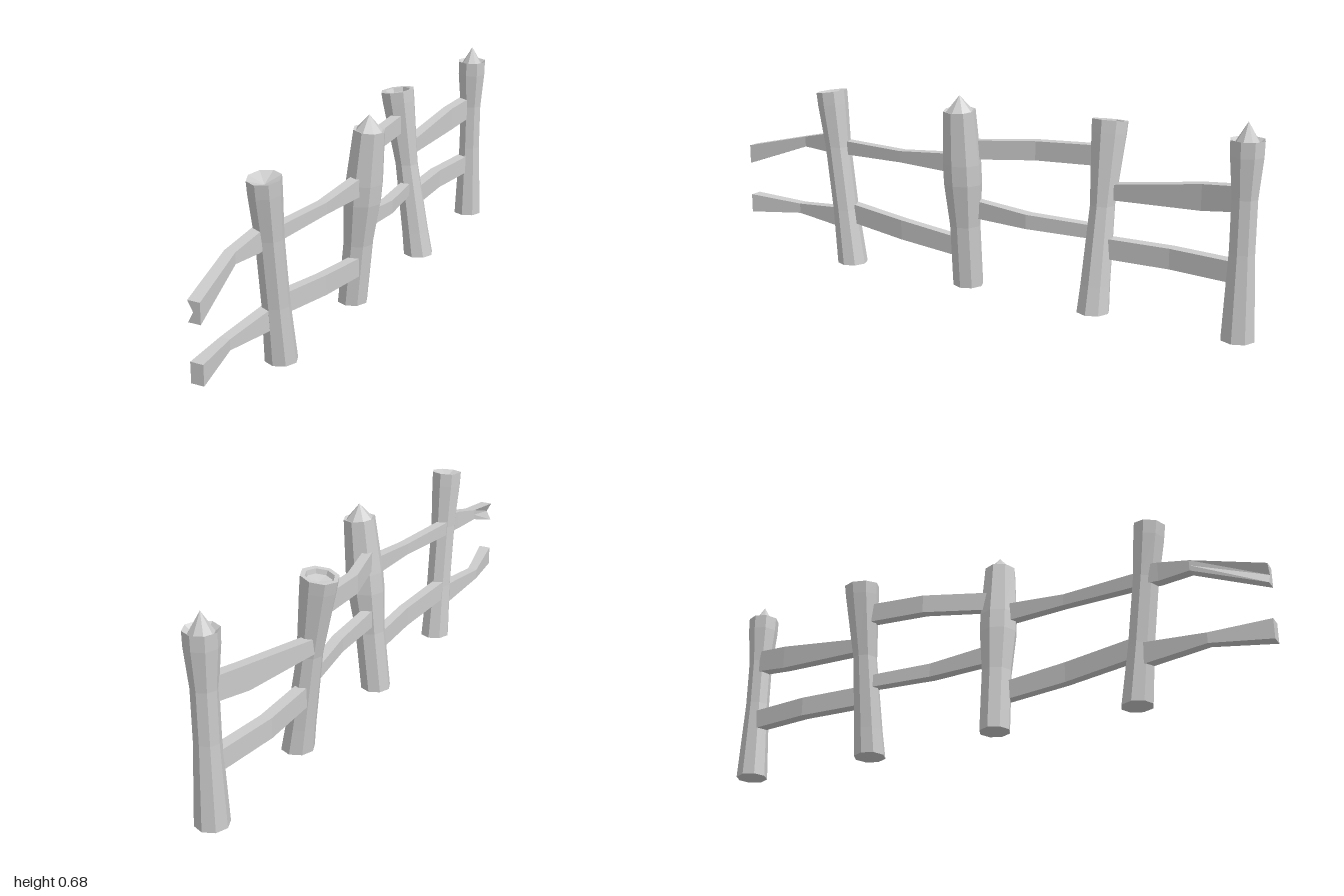
import * as THREE from 'three';

// Skin a list of equal-length point loops, ordered counter-clockwise around the axis
function loft(name, loops) {
  const pos = [];
  const n = loops[0].length;
  for (let j = 0; j < loops.length - 1; j++) {
    for (let i = 0; i < n; i++) {
      const k = (i + 1) % n;
      const a = loops[j][i], b = loops[j][k], c = loops[j + 1][k], d = loops[j + 1][i];
      for (const [p, q, r] of [[a, b, c], [a, c, d]]) {
        const area = q.clone().sub(p).cross(r.clone().sub(p)).length();
        if (area > 1e-9) pos.push(...p.toArray(), ...q.toArray(), ...r.toArray());
      }
    }
  }
  const geo = new THREE.BufferGeometry();
  geo.setAttribute('position', new THREE.Float32BufferAttribute(pos, 3));
  geo.computeVertexNormals();
  const mat = new THREE.MeshStandardMaterial({ color: 0xcccccc, flatShading: true });
  const mesh = new THREE.Mesh(geo, mat);
  mesh.name = name;
  return mesh;
}

// Eight-sided post. profile rows: [height, radius]; the top rows form the rim, dish or point.
// The axis runs from foot [x, z] to head [x, z]; slope tilts the cut at the head.
function post(name, foot, head, slope, profile) {
  const loops = profile.map(([y, r]) => {
    const t = Math.min(y / 0.62, 1);
    const cx = THREE.MathUtils.lerp(foot[0], head[0], t);
    const cz = THREE.MathUtils.lerp(foot[1], head[1], t);
    const tilt = y > 0.56 ? 1 : 0;
    return Array.from({ length: 8 }, (_, i) => {
      const dx = r * Math.sin(i * Math.PI / 4), dz = r * Math.cos(i * Math.PI / 4);
      return new THREE.Vector3(cx + dx, y + tilt * (slope[0] * dx + slope[1] * dz), cz + dz);
    });
  });
  return loft(name, loops);
}

// Rail through sections [z, x0, x1, y0, y1, notch depth], z increasing
function rail(name, sections) {
  const loops = sections.map(([z, x0, x1, y0, y1, notch = 0]) => [
    [x0 + notch, (y0 + y1) / 2], [x0, y0], [x1, y0], [x1, y1], [x0, y1],
  ].map(([x, y]) => new THREE.Vector3(x, y, z)));
  const cap = (loop) => loop.map(() => loop[0]);
  return loft(name, [cap(loops[0]), ...loops, cap(loops[loops.length - 1])]);
}

export function createModel() {
  const group = new THREE.Group();
  group.name = 'fence';

  // Posts, front to back
  group.add(
    post('frontPost', [0.02, 0.542], [0.02, 0.618], [0, -0.14], [
      [0, 0], [0, 0.054], [0.2, 0.046], [0.43, 0.046], [0.58, 0.054], [0.627, 0.055],
      [0.605, 0],
    ]),
    post('middleFrontPost', [0.01, 0.045], [0.07, 0.04], [-0.08, 0], [
      [0, 0], [0, 0.053], [0.22, 0.053], [0.37, 0.066], [0.44, 0.066], [0.625, 0.055],
      [0.622, 0.046], [0.675, 0],
    ]),
    post('middleBackPost', [0.028, -0.45], [-0.066, -0.45], [0.16, 0], [
      [0, 0], [0, 0.056], [0.09, 0.051], [0.35, 0.043], [0.58, 0.06], [0.622, 0.062],
      [0.621, 0.047], [0.606, 0.042], [0.6, 0],
    ]),
    post('backPost', [0.018, -0.945], [0.018, -0.945], [0, 0], [
      [0, 0], [0, 0.055], [0.28, 0.042], [0.45, 0.042], [0.58, 0.054], [0.63, 0.055],
      [0.618, 0.04], [0.684, 0],
    ]),
  );

  // Upper rails; the front one ends in a split
  group.add(
    rail('upperRailFront', [
      [0.58, -0.015, 0.025, 0.405, 0.475],
      [0.65, -0.018, 0.02, 0.4, 0.466],
      [0.76, -0.033, 0.005, 0.403, 0.44],
      [1, 0, 0.042, 0.318, 0.386, 0.018],
    ]),
    rail('upperRailMiddleFront', [
      [0.06, 0.03, 0.068, 0.405, 0.472],
      [0.3, 0.018, 0.052, 0.41, 0.45],
      [0.6, -0.015, 0.02, 0.4, 0.45],
    ]),
    rail('upperRailMiddleBack', [
      [-0.45, -0.066, -0.03, 0.474, 0.542],
      [-0.2, -0.057, -0.02, 0.465, 0.53],
      [0.03, 0.012, 0.045, 0.453, 0.518],
    ]),
    rail('upperRailBack', [
      [-0.93, -0.015, 0.025, 0.405, 0.485],
      [-0.8, -0.035, 0.002, 0.385, 0.47],
      [-0.45, -0.063, -0.022, 0.367, 0.415],
    ]),
  );

  // Lower rails
  group.add(
    rail('lowerRailFront', [
      [0.55, -0.015, 0.025, 0.12, 0.2],
      [0.8, -0.033, 0.002, 0.142, 0.178],
      [1, 0, 0.044, 0.128, 0.196],
    ]),
    rail('lowerRailMiddleFront', [
      [0.08, 0.02, 0.055, 0.112, 0.178],
      [0.3, 0.016, 0.05, 0.13, 0.2],
      [0.56, -0.015, 0.022, 0.153, 0.222],
    ]),
    rail('lowerRailMiddleBack', [
      [-0.45, -0.035, 0.0, 0.235, 0.28],
      [-0.2, 0.0, 0.04, 0.243, 0.292],
      [0.03, 0.0, 0.035, 0.25, 0.313],
    ]),
    rail('lowerRailBack', [
      [-0.93, -0.015, 0.025, 0.178, 0.246],
      [-0.7, -0.04, 0.0, 0.178, 0.246],
      [-0.45, -0.03, 0.01, 0.178, 0.246],
    ]),
  );
  return group;
}
